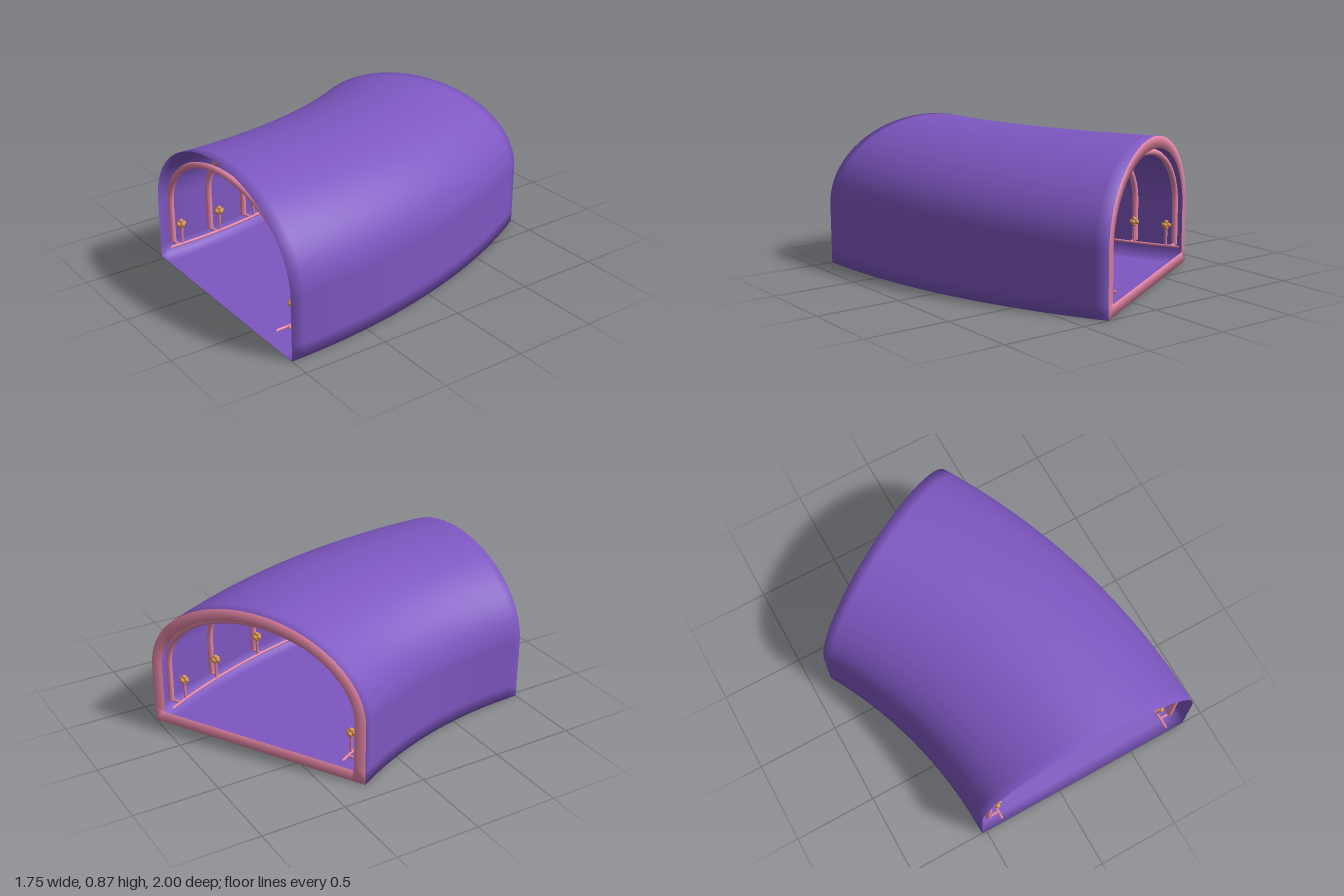
import * as THREE from 'three';

const DEG = Math.PI / 180;
const CX = -3.13, MID = 3.3, BEND = 30;      // bend centre, mid radius, sweep in degrees
const HALF = 0.7, SPRING = 0.37, RISE = 0.5; // arch half width, wall height, vault rise
const LIP = 0.07;

// Point on the bend: angle in degrees, sideways offset u from the centreline, height y
function place(deg, u, y) {
  const a = deg * DEG, r = MID + u;
  return new THREE.Vector3(CX + r * Math.cos(a), y, 1 - r * Math.sin(a));
}

// Closed cross-section: u, y and outward normal
function tunnelProfile() {
  const pts = [[HALF, 0, 1, -1], [HALF, 0.08, 1, 0]];
  const n = 40;
  for (let i = 0; i <= n; i++) {
    const c = Math.cos(Math.PI * i / n), s = Math.sin(Math.PI * i / n);
    const l = Math.hypot(c / HALF, s / RISE);
    pts.push([HALF * c, SPRING + RISE * s, c / HALF / l, s / RISE / l]);
  }
  pts.push([-HALF, 0.08, -1, 0], [-HALF, 0, -1, -1], [-0.62, 0, 0, -1], [0.62, 0, 0, -1]);
  pts.push([HALF, 0, 1, -1]);
  return pts;
}

// Skin between cross-sections; each row has an angle, an inset, a normal sign and a tilt along the bend
function skin(rows) {
  const profile = tunnelProfile(), w = profile.length;
  const pos = [], nor = [], idx = [];
  rows.forEach(({ deg, inset = 0, sign = 1, tilt = 0 }, i) => {
    const c = Math.cos(deg * DEG), s = Math.sin(deg * DEG);
    profile.forEach(([u, y, nu, ny], j) => {
      pos.push(...place(deg, u - inset * nu, y - inset * ny));
      const l = Math.hypot(nu, ny) * sign;
      const nrm = new THREE.Vector3(c * nu / l - s * tilt, ny / l, -s * nu / l - c * tilt);
      nor.push(...nrm.normalize());
      if (i < rows.length - 1 && j < w - 1) {
        const a = i * w + j, b = a + w;
        idx.push(a, b, a + 1, a + 1, b, b + 1);
      }
    });
  });
  const g = new THREE.BufferGeometry();
  g.setAttribute('position', new THREE.Float32BufferAttribute(pos, 3));
  g.setAttribute('normal', new THREE.Float32BufferAttribute(nor, 3));
  g.setIndex(idx);
  return g;
}

export function createModel() {
  const purple = new THREE.MeshStandardMaterial({ color: 0x7e57c2, side: THREE.DoubleSide });
  purple.name = 'purple shell';
  const pink = new THREE.MeshStandardMaterial({ color: 0xf48fb1, side: THREE.DoubleSide });
  pink.name = 'pink trim';
  const gold = new THREE.MeshStandardMaterial({ color: 0xd9964f });
  gold.name = 'gold flower';

  const model = new THREE.Group();
  model.name = 'curvedTunnel';
  const add = (parent, name, geometry, material) => {
    const m = new THREE.Mesh(geometry, material);
    m.name = name;
    parent.add(m);
    return m;
  };
  const tube = (points, segments, radius) =>
    new THREE.TubeGeometry(new THREE.CatmullRomCurve3(points), segments, radius, 8);

  // Shell with walls, vault and floor
  const rows = [{ deg: 0, tilt: -1 }];
  for (let i = 0; i <= 24; i++) rows.push({ deg: 1.1 + (BEND - 2.2) * i / 24 });
  rows.push({ deg: BEND, tilt: 1 });
  add(model, 'tunnelShell', skin(rows), purple);

  // Lip around the back opening
  add(model, 'backLip', skin([
    { deg: BEND, tilt: 1 },
    { deg: BEND, inset: LIP, sign: -1, tilt: 1 },
  ]), pink);

  // Arched ribs
  const ribU = 0.63, railU = 0.565, footY = 0.12, count = 6;
  const ribAngle = i => 1 + 28 * i / (count - 1);
  for (let i = 0; i < count; i++) {
    const deg = ribAngle(i), path = [];
    for (const y of [footY, 0.2, 0.29]) path.push(place(deg, ribU, y));
    for (let k = 0; k <= 24; k++) {
      const t = Math.PI * k / 24;
      path.push(place(deg, ribU * Math.cos(t), SPRING + 0.405 * Math.sin(t)));
    }
    for (const y of [0.29, 0.2, footY]) path.push(place(deg, -ribU, y));
    add(model, 'archRib', tube(path, 80, 0.018), pink);
  }

  // Low rails, rib brackets and flowers on both sides
  const petal = new THREE.SphereGeometry(0.014, 10, 8);
  const stem = new THREE.CylinderGeometry(0.011, 0.006, 0.12, 8);
  for (const side of [1, -1]) {
    const path = [];
    for (let k = 0; k <= 12; k++) path.push(place(BEND * k / 12, side * railU, footY));
    add(model, 'sideRail', tube(path, 48, 0.008), pink);

    for (let i = 0; i < count; i++) {
      const deg = ribAngle(i);
      add(model, 'railBracket', tube([
        place(deg, side * railU, footY), place(deg, side * (ribU + 0.01), footY),
      ], 2, 0.008), pink);

      const flower = new THREE.Group();
      flower.name = 'flower';
      flower.position.copy(place(Math.min(deg + 0.5, 28.3), side * railU, 0.25));
      flower.rotation.y = deg * DEG;
      add(flower, 'stem', stem, pink).position.y = -0.07;
      for (const axis of ['x', 'y', 'z']) {
        for (const d of [-0.017, 0.017]) add(flower, 'petal', petal, gold).position[axis] = d;
      }
      model.add(flower);
    }
  }
  return model;
}
